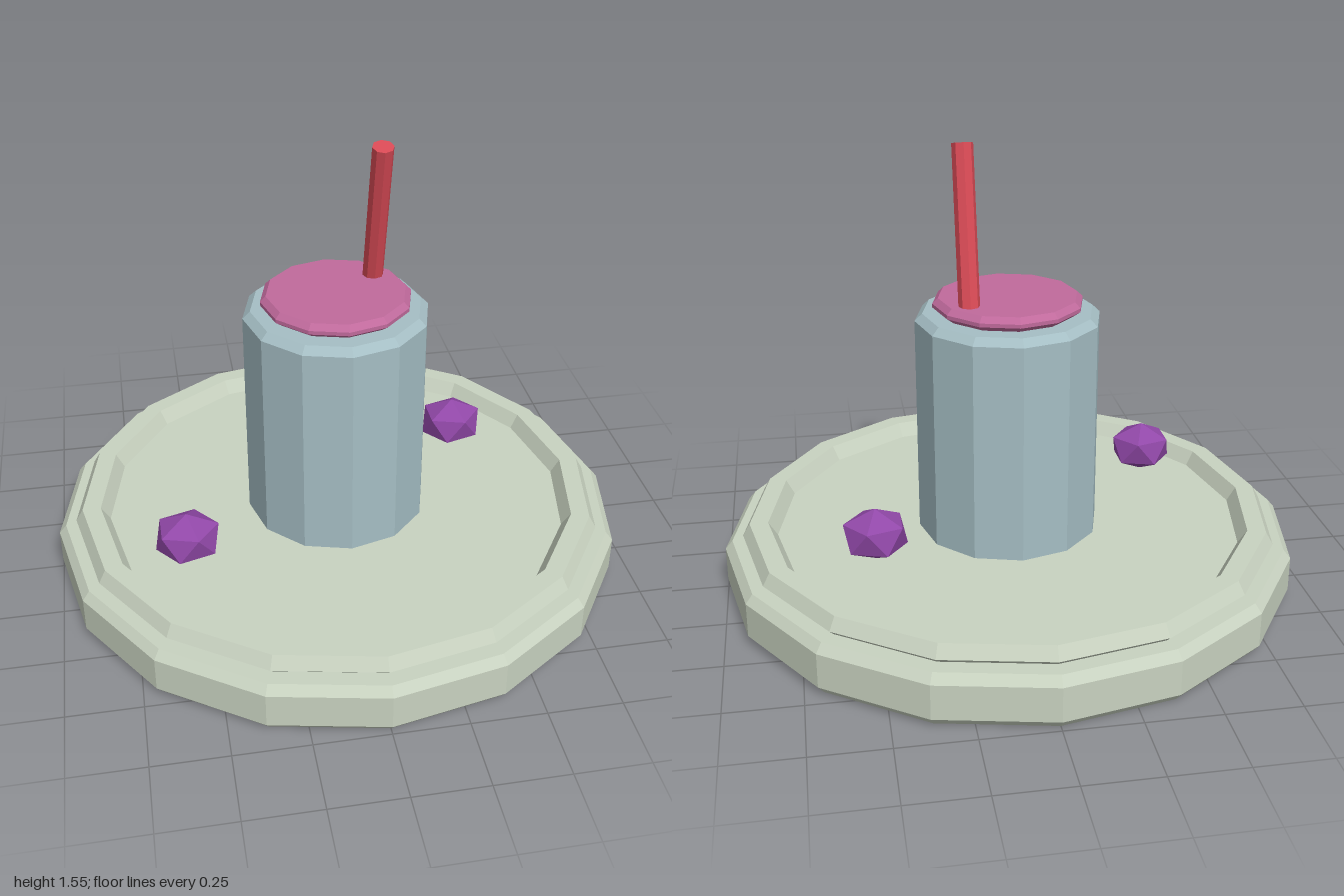
import * as THREE from 'three';

function add(parent, name, geometry, color) {
  const material = new THREE.MeshStandardMaterial({ color, flatShading: true });
  const mesh = new THREE.Mesh(geometry, material);
  mesh.name = name;
  parent.add(mesh);
  return mesh;
}

// Faceted solid of revolution; profile runs from the bottom axis up the outside to the top axis
function turned(profile, sides) {
  return new THREE.LatheGeometry(profile.map(([r, y]) => new THREE.Vector2(r, y)), sides);
}

export function createModel() {
  const model = new THREE.Group();
  model.name = 'cupOnPlate';

  // Plate with bevelled edge, raised rim and sunken floor
  add(model, 'plate', turned([
    [0, 0], [0.975, 0], [1, 0.03], [1, 0.15], [0.975, 0.18], [0.92, 0.18],
    [0.937, 0.197], [0.912, 0.24], [0.848, 0.24], [0.817, 0.19], [0, 0.19],
  ], 16), 0xc8d2c0);

  // Cup with a chamfered lip
  add(model, 'cup', turned([
    [0, 0.18], [0.318, 0.18], [0.318, 0.955], [0.292, 0.98], [0, 0.98],
  ], 12), 0xa5bec4);

  // Drink surface, a thin bevelled disc
  add(model, 'drink', turned([
    [0, 0.98], [0.23, 0.98], [0.257, 1.0], [0.257, 1.013], [0.238, 1.032], [0, 1.032],
  ], 12), 0xc06a9c);

  // Leaning straw
  const length = 0.56;
  const straw = add(model, 'straw',
    new THREE.CylinderGeometry(0.036, 0.036, length, 8).translate(0, -length / 2, 0), 0xd84a55);
  straw.rotation.x = 0.25;
  straw.position.set(0.145, 1.545, 0.032);

  // Two flattened berries, each with one corner pointing up
  const berry = new THREE.IcosahedronGeometry(1, 0)
    .rotateZ(-Math.atan(2 / (1 + Math.sqrt(5))))
    .scale(0.12, 0.093, 0.1075);
  for (const [name, x, z] of [['berryRight', -0.561, 0.29], ['berryLeft', 0.489, -0.249]]) {
    add(model, name, berry, 0x9148a8).position.set(x, 0.299, z);
  }

  return model;
}
